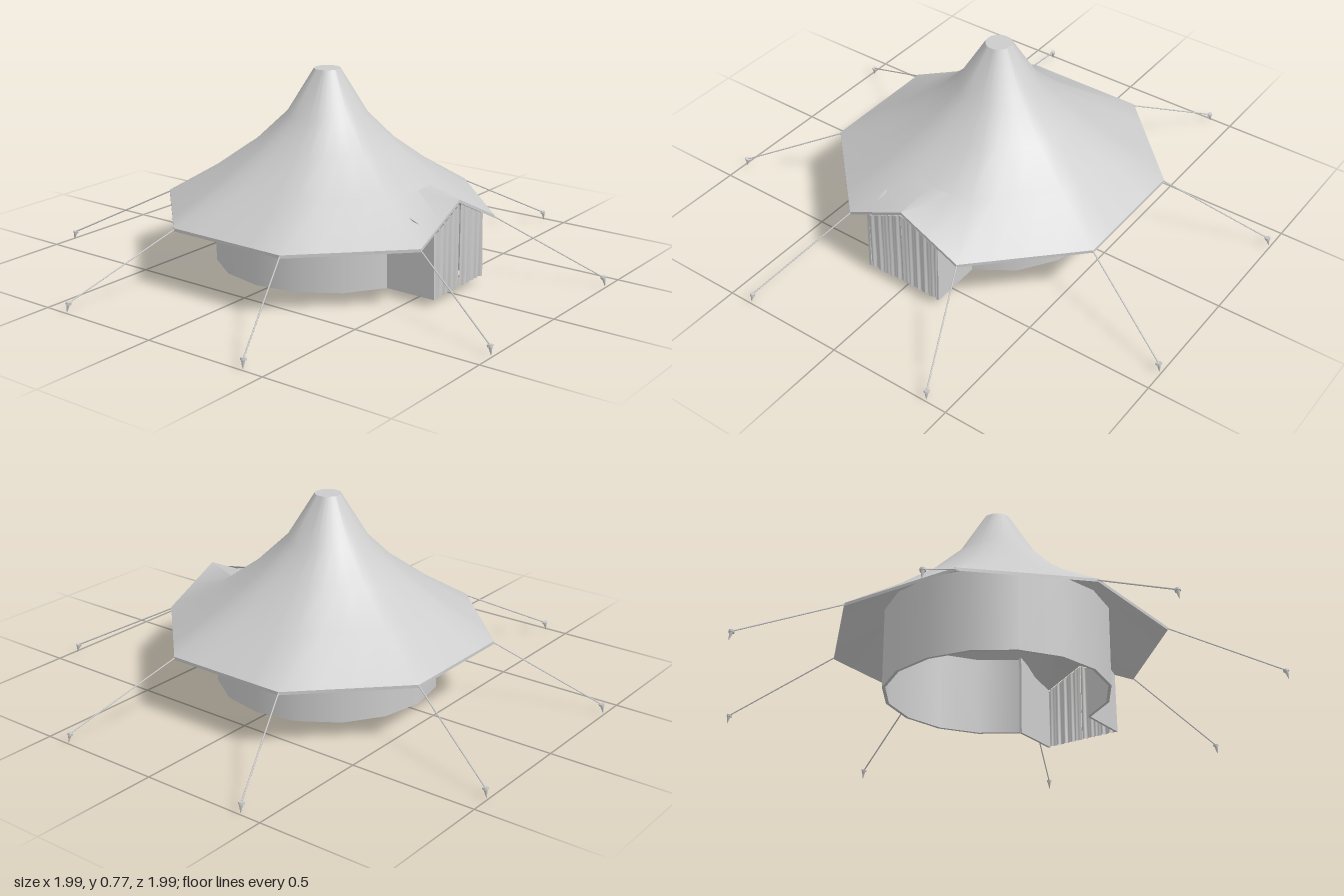
import * as THREE from 'three';
import { toCreasedNormals } from 'three/addons/utils/BufferGeometryUtils.js';

const grey = new THREE.MeshStandardMaterial({ color: 0xcccccc });
const cloth = new THREE.MeshStandardMaterial({ color: 0xcccccc, side: THREE.DoubleSide });

const EAVE = 0.6, EAVE_Y = 0.245, PORCH_X = 0.165, PORCH_Z = 0.605, FLOOR = 0.03;
const GABLE_HALF = EAVE * Math.tan(Math.PI / 8);
// height of the raised front eave above the straight one
const gable = x => 0.12 * Math.max(0, 1 - Math.abs(x) / GABLE_HALF);

function add(parent, name, geometry, material = grey) {
  const mesh = new THREE.Mesh(geometry, material);
  mesh.name = name;
  parent.add(mesh);
  return mesh;
}

// Canvas shell: octagonal at the eave, turning round towards the crown
function roofGeometry() {
  const N = 32, side = Math.PI / 4;
  // apothem, height, octagon share
  const rings = [[EAVE, EAVE_Y, 1], [0.42, 0.368, 0.7], [0.27, 0.486, 0.4], [0.155, 0.602, 0.2], [0.05, 0.775, 0.3], [0.0002, 0.775, 0]];
  const loops = [...rings].reverse().map(r => [...r, 0.012]).concat(rings.map(r => [...r, 0]));
  const pos = [], index = [];
  loops.forEach(([a, y, share, drop], i) => {
    for (let k = 0; k < N; k++) {
      const t = k * 2 * Math.PI / N;
      const d = t - Math.round(t / side) * side;
      const r = a / Math.pow(Math.cos(d), share);
      const x = r * Math.sin(t), z = r * Math.cos(t);
      const lift = a === EAVE && z > 0.59 ? gable(x) : 0;
      pos.push(x, y + lift - drop, z);
      if (i < loops.length - 1) {
        const p = i * N + k, q = i * N + (k + 1) % N;
        index.push(p, q, q + N, p, q + N, p + N);
      }
    }
  });
  const g = new THREE.BufferGeometry();
  g.setAttribute('position', new THREE.Float32BufferAttribute(pos, 3));
  g.setIndex(index);
  return toCreasedNormals(g, 0.6);
}

// Hanging door cloth with uneven pleats, its top following the gable
function curtainGeometry(sign) {
  const g = new THREE.PlaneGeometry(1, 1, 40, 4), p = g.attributes.position;
  for (let i = 0; i < p.count; i++) {
    const u = p.getX(i) + 0.5, v = p.getY(i) + 0.5;
    const x = sign > 0 ? 0.002 + u * (PORCH_X - 0.002) : -PORCH_X + u * (PORCH_X - 0.002);
    const s = Math.abs(x) * 100 + (sign > 0 ? 0 : 1.3);
    const fold = 0.004 * Math.sin(s * 2.1) + 0.003 * Math.sin(s * 3.7 + 1);
    const top = EAVE_Y - 0.014 + gable(x);
    p.setXYZ(i, x, FLOOR + (top - FLOOR) * v, PORCH_Z - 0.004 + fold * (1 - 0.4 * v));
  }
  g.computeVertexNormals();
  return g;
}

// Straight rod between two points
function rod(parent, name, a, b, r) {
  const dir = b.clone().sub(a);
  const m = add(parent, name, new THREE.CylinderGeometry(r, r, dir.length(), 6));
  m.position.copy(a).add(b).multiplyScalar(0.5);
  m.quaternion.setFromUnitVectors(new THREE.Vector3(0, 1, 0), dir.normalize());
}

export function createModel() {
  const tent = new THREE.Group();
  tent.name = 'tent';

  add(tent, 'roof', roofGeometry());

  // Round wall, open at the front where the porch joins
  const wall = new THREE.Group();
  wall.name = 'wall';
  tent.add(wall);
  const start = Math.PI / 8, sweep = Math.PI * 1.75, top = 0.345;
  for (const [name, r] of [['outerWall', 0.432], ['innerWall', 0.42]]) {
    const g = new THREE.CylinderGeometry(r, r, top - FLOOR, 14, 1, true, start, sweep);
    add(wall, name, g, cloth).position.y = (top + FLOOR) / 2;
  }
  const hem = new THREE.RingGeometry(0.42, 0.432, 14, 1, start - Math.PI / 2, sweep);
  hem.rotateX(-Math.PI / 2);
  add(wall, 'wallHem', hem, cloth).position.y = FLOOR;

  // Porch sides and door curtains
  const porch = new THREE.Group();
  porch.name = 'porch';
  tent.add(porch);
  const sideShape = new THREE.Shape([
    [0.395, FLOOR], [PORCH_Z, FLOOR], [PORCH_Z - 0.006, EAVE_Y + gable(PORCH_X) - 0.008], [0.395, 0.355],
  ].map(([z, y]) => new THREE.Vector2(-z, y)));
  for (const sign of [1, -1]) {
    const sideGeo = new THREE.ExtrudeGeometry(sideShape, { depth: 0.01, bevelEnabled: false });
    sideGeo.rotateY(Math.PI / 2);
    add(porch, 'porchSide', sideGeo).position.x = sign * (PORCH_X - 0.005) - 0.005;
    add(porch, 'doorCurtain', curtainGeometry(sign), cloth);
  }

  // Guy ropes from each eave corner to a tapered ground peg
  const corner = EAVE / Math.cos(Math.PI / 8);
  for (let i = 0; i < 8; i++) {
    const guy = new THREE.Group();
    guy.name = 'guyLine';
    guy.rotation.y = (i + 0.5) * Math.PI / 4;
    tent.add(guy);
    rod(guy, 'rope', new THREE.Vector3(0, EAVE_Y - 0.004, corner - 0.004), new THREE.Vector3(0, 0.033, 1.068), 0.0028);
    rod(guy, 'pegHead', new THREE.Vector3(0, 0.029, 1.066), new THREE.Vector3(0, 0.037, 1.064), 0.011);
    const peg = add(guy, 'peg', new THREE.CylinderGeometry(0.008, 0.001, 0.032, 6));
    peg.position.set(0, 0.0165, 1.069);
    peg.rotation.x = -0.2;
  }
  return tent;
}
